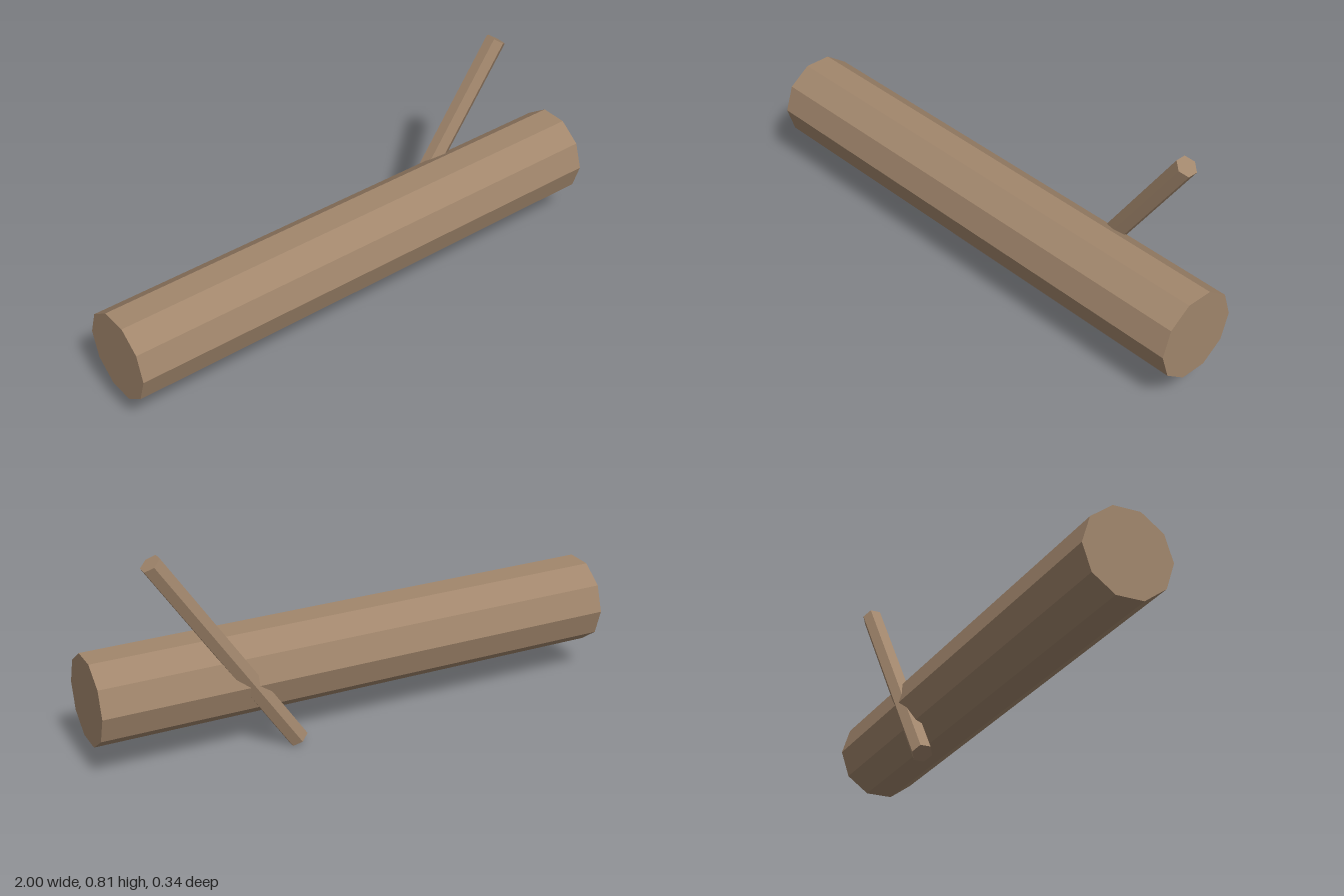
import * as THREE from 'three';

export function createModel() {
  const model = new THREE.Group();
  model.name = 'logWithBranch';

  const wood = new THREE.MeshStandardMaterial({ color: 0xa1866c, flatShading: true });
  wood.name = 'brown wood';

  // A straight faceted piece of wood, tilted about z
  const addStick = (name, radius, length, sides, position, tilt) => {
    const mesh = new THREE.Mesh(new THREE.CylinderGeometry(radius, radius, length, sides), wood);
    mesh.name = name;
    mesh.position.set(...position);
    mesh.rotation.z = tilt;
    model.add(mesh);
  };

  // Ten-sided trunk lying along x
  addStick('trunk', 0.166, 2, 10, [0, 0.273, 0.004], Math.PI / 2);
  // Thin six-sided branch leaning through the back of the trunk
  addStick('branch', 0.04, 0.933, 6, [0.53, 0.405, -0.13], -0.6);

  return model;
}
